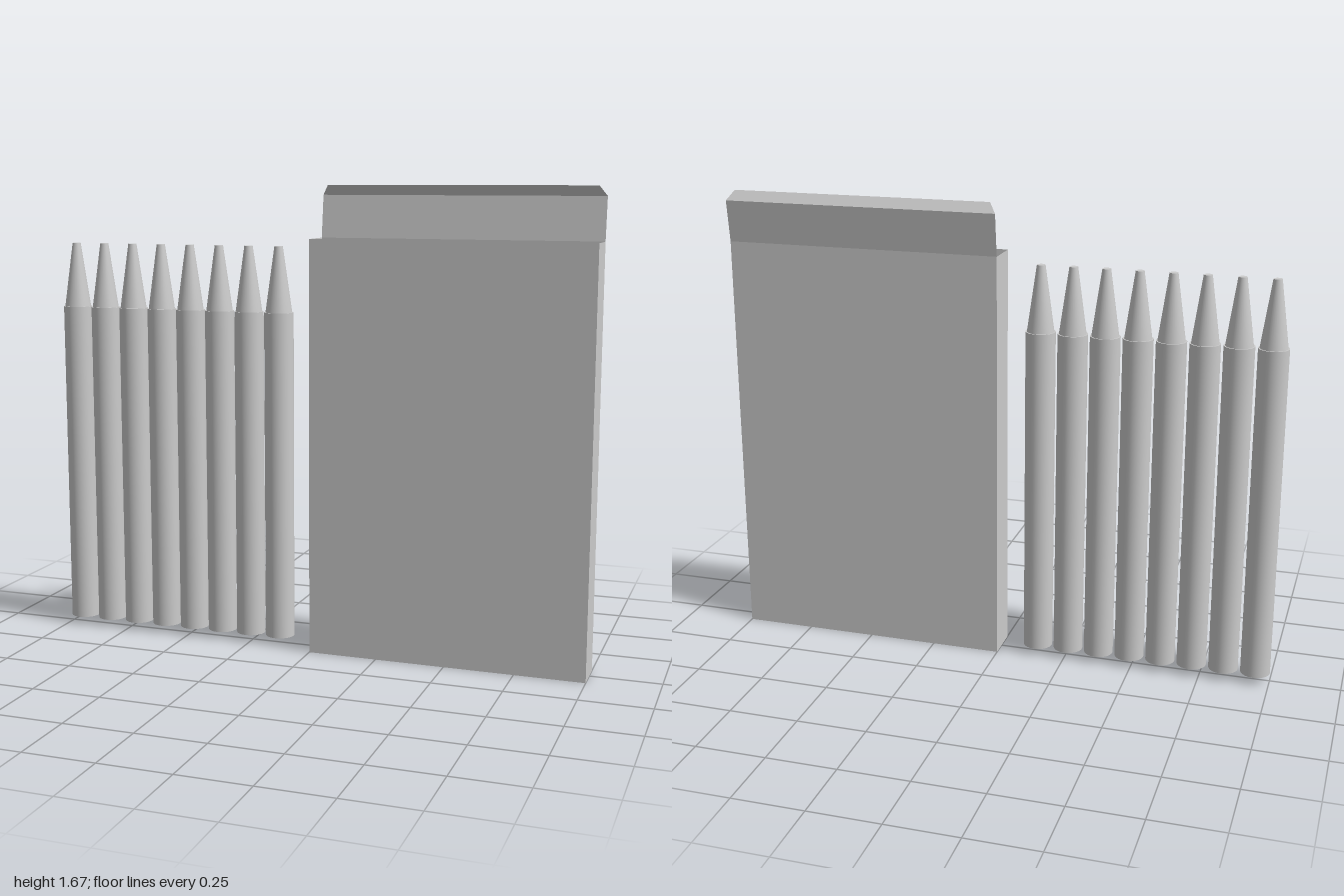
import * as THREE from 'three';

const material = new THREE.MeshStandardMaterial({ color: 0xcccccc });
const cardMaterial = new THREE.MeshStandardMaterial({ color: 0xcccccc, side: THREE.DoubleSide, flatShading: true });

function addMesh(parent, name, geometry, x = 0, y = 0, z = 0, mat = material) {
  const mesh = new THREE.Mesh(geometry, mat);
  mesh.name = name;
  mesh.position.set(x, y, z);
  parent.add(mesh);
  return mesh;
}

// Flat four-cornered sheet of card
function sheet(a, b, c, d) {
  const geometry = new THREE.BufferGeometry();
  geometry.setAttribute('position', new THREE.Float32BufferAttribute([...a, ...b, ...c, ...d], 3));
  geometry.setIndex([0, 1, 2, 0, 2, 3]);
  geometry.computeVertexNormals();
  return geometry;
}

// One crayon: straight body and a slightly narrower, blunt tapered tip
function createCrayon() {
  const bottom = 0.03, shoulder = 1.225, top = 1.46;
  const crayon = new THREE.Group();
  addMesh(crayon, 'crayonBody', new THREE.CylinderGeometry(0.053, 0.053, shoulder - bottom, 32),
    0, (bottom + shoulder) / 2);
  addMesh(crayon, 'crayonTip', new THREE.CylinderGeometry(0.015, 0.048, top - shoulder, 32),
    0, (shoulder + top) / 2);
  return crayon;
}

// Open-topped thin card carton with a folded flap rising from the back
function createCarton() {
  const carton = new THREE.Group();
  carton.name = 'carton';
  const x0 = 0, x1 = 1, h = 1.49, zf = 0.077, zb = -0.058;
  const add = (name, ...corners) => addMesh(carton, name, sheet(...corners), 0, 0, 0, cardMaterial);

  add('frontPanel', [x0, 0, zf], [x1, 0, zf], [x1, h, zf], [x0, h, zf]);
  add('backPanel', [x1, 0, zb], [x0, 0, zb], [x0, h, zb], [x1, h, zb]);
  add('leftPanel', [x1, 0, zf], [x1, 0, zb], [x1, h, zb], [x1, h, zf]);
  add('rightPanel', [x0, 0, zb], [x0, 0, zf], [x0, h, zf], [x0, h, zb]);
  add('bottomPanel', [x0, 0, zb], [x1, 0, zb], [x1, 0, zf], [x0, 0, zf]);

  // Flap leans back, then its tuck edge bends forward with clipped corners
  const foldY = 1.64, foldZ = -0.077, tipY = 1.675, tipZ = -0.052, clip = 0.025;
  add('lidFlap', [x1, h, zb], [x0, h, zb], [x0, foldY, foldZ], [x1, foldY, foldZ]);
  add('tuckEdge', [x1, foldY, foldZ], [x0, foldY, foldZ], [x0 + clip, tipY, tipZ], [x1 - clip, tipY, tipZ]);
  return carton;
}

export function createModel() {
  const model = new THREE.Group();
  model.name = 'crayonSet';

  // Row of eight crayons beside the carton
  for (let i = 0; i < 8; i++) {
    const crayon = createCrayon();
    crayon.name = `crayon${i + 1}`;
    crayon.position.x = -0.947 + i * 0.115;
    model.add(crayon);
  }
  model.add(createCarton());
  return model;
}
